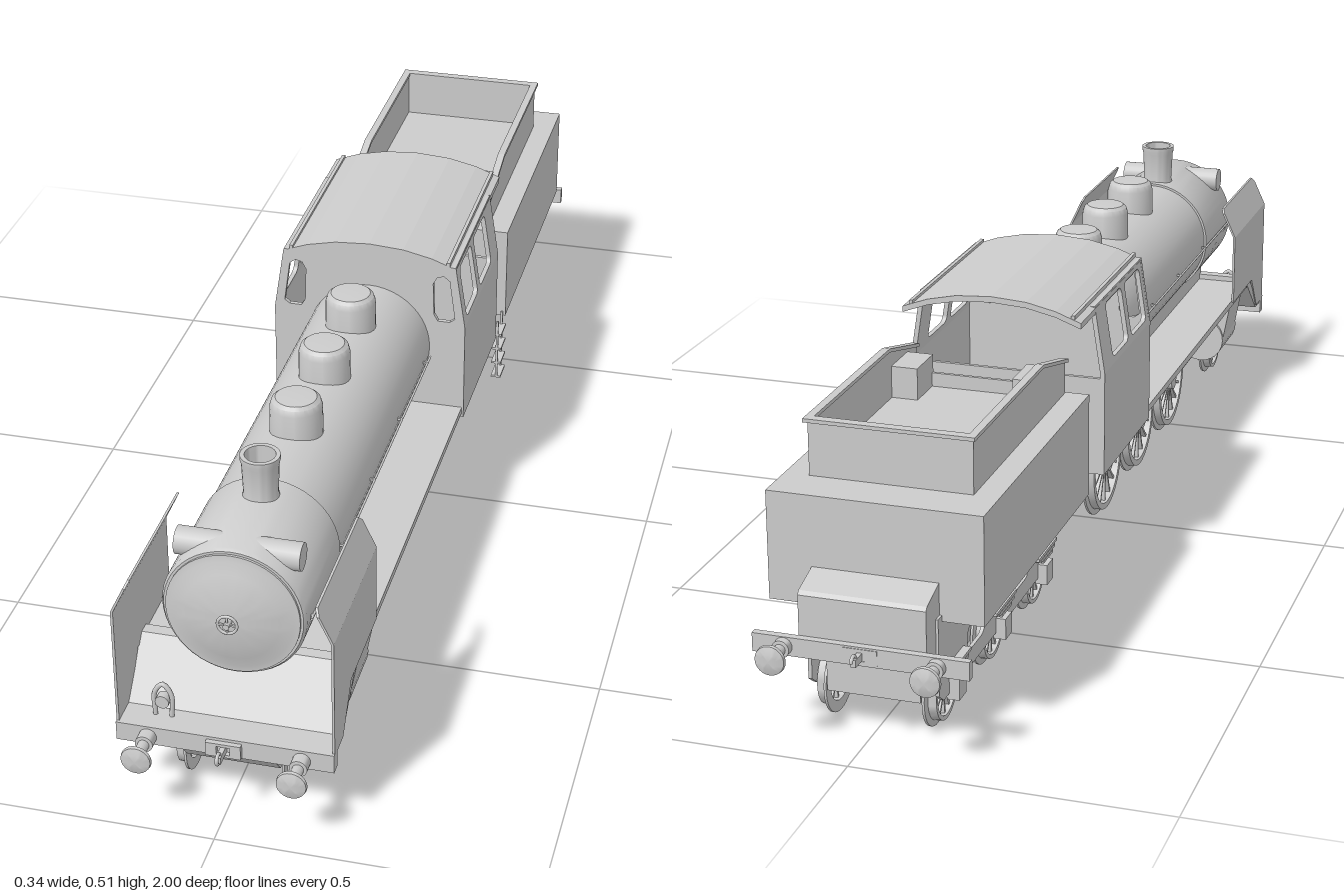
import * as THREE from 'three';
import { mergeGeometries, toCreasedNormals } from 'three/addons/utils/BufferGeometryUtils.js';

const mat = new THREE.MeshStandardMaterial({ color: 0xcccccc, side: THREE.DoubleSide });
const V = (x, y) => new THREE.Vector2(x, y);
const V3 = (x, y, z) => new THREE.Vector3(x, y, z);
const SIDES = [1, -1];

export function createModel() {
  const root = new THREE.Group();
  const add = (name, geo, x = 0, y = 0, z = 0, parent = root) => {
    const m = new THREE.Mesh(geo, mat);
    m.name = name;
    m.position.set(x, y, z);
    parent.add(m);
    return m;
  };
  // box given by its limits on each axis
  const box = (name, x0, x1, y0, y1, z0, z1) =>
    add(name, new THREE.BoxGeometry(x1 - x0, y1 - y0, z1 - z0), (x0 + x1) / 2, (y0 + y1) / 2, (z0 + z1) / 2);
  // turned part, profile as [radius, height]
  const lathe = (pts, seg = 32) =>
    toCreasedNormals(new THREE.LatheGeometry(pts.map(p => V(...p)), seg), 0.6);
  const shape = pts => new THREE.Shape(pts.map(p => V(...p)));
  const extrude = (s, depth) => new THREE.ExtrudeGeometry(s, { depth, bevelEnabled: false, curveSegments: 8 });
  // outline in (z, y), spanning x0..x1
  const sidePlate = (s, x0, x1) => extrude(s, x1 - x0).rotateY(-Math.PI / 2).translate(x1, 0, 0);
  const tube = (name, pts, r, seg = 12) =>
    add(name, new THREE.TubeGeometry(new THREE.CatmullRomCurve3(pts.map(p => V3(...p))), seg, r, 8));
  // rounded rectangular opening
  const slot = (x0, x1, y0, y1, r) => {
    const p = new THREE.Path();
    p.absarc(x1 - r, y1 - r, r, 0, Math.PI / 2);
    p.absarc(x0 + r, y1 - r, r, Math.PI / 2, Math.PI);
    p.absarc(x0 + r, y0 + r, r, Math.PI, Math.PI * 1.5);
    p.absarc(x1 - r, y0 + r, r, Math.PI * 1.5, Math.PI * 2);
    p.closePath();
    return p;
  };
  // lean a plate inward above a given height
  const lean = (geo, y0, slope) => {
    const p = geo.attributes.position;
    for (let i = 0; i < p.count; i++)
      p.setX(i, p.getX(i) - Math.sign(p.getX(i)) * Math.max(0, p.getY(i) - y0) * slope);
    geo.computeVertexNormals();
    return geo;
  };

  // spoked wheels, axis along x
  const wheelGeo = (R, spokes) => {
    const rim = R - (R > 0.08 ? 0.022 : 0.018);
    const parts = [
      lathe([[rim, 0], [R, 0], [R, 0.004], [R - 0.01, 0.006], [R - 0.011, 0.019], [rim, 0.019], [rim, 0]], 40),
      lathe([[0, 0], [R * 0.18, 0], [R * 0.18, 0.024], [0, 0.024]], 16)];
    for (let i = 0; i < spokes; i++)
      parts.push(new THREE.BoxGeometry(rim - R * 0.1, 0.009, 0.0045).translate((rim + R * 0.1) / 2 + 0.001, 0.01, 0)
        .rotateY(i / spokes * Math.PI * 2).toNonIndexed());
    return mergeGeometries(parts).rotateZ(-Math.PI / 2);
  };
  const driver = wheelGeo(0.1, 16), small = wheelGeo(0.06, 12);
  const axle = (name, geo, R, z) => {
    for (const s of SIDES) add(name, geo, s * 0.076, R, z).rotation.y = s > 0 ? 0 : Math.PI;
    add('axle', new THREE.CylinderGeometry(0.01, 0.01, 0.16, 12).rotateZ(Math.PI / 2), 0, R, z);
  };
  for (const z of [0.48, 0.257, 0.035]) axle('drivingWheel', driver, 0.1, z);
  axle('leadingWheel', small, 0.06, 0.83);
  for (const z of [-0.393, -0.61, -0.83]) axle('tenderWheel', small, 0.06, z);

  // engine frame and running boards
  add('engineFrame', sidePlate(shape([[0.93, 0.11], [0.89, 0.063], [-0.25, 0.063], [-0.25, 0.205],
    [0.81, 0.205], [0.88, 0.135], [0.93, 0.135]]), -0.074, 0.074));
  box('runningBoard', -0.167, 0.167, 0.198, 0.21, 0.03, 0.8);
  add('frontApron', sidePlate(shape([[0.79, 0.22], [0.81, 0.22], [0.885, 0.14], [0.93, 0.14], [0.93, 0.13],
    [0.88, 0.13], [0.79, 0.21]]), -0.168, 0.168));
  box('frontBeam', -0.17, 0.17, 0.108, 0.14, 0.915, 0.935);
  box('boilerSaddle', -0.07, 0.07, 0.2, 0.26, 0.05, 0.8);

  // boiler, smokebox door and handrails
  const by = 0.325;
  add('boiler', lathe([[0, 0.03], [0.108, 0.03], [0.108, 0.67], [0.112, 0.67], [0.112, 0.862], [0.108, 0.868],
    [0.1, 0.868]], 48).rotateX(Math.PI / 2), 0, by);
  add('smokeboxDoor', lathe([[0.104, 0.862], [0.104, 0.872], [0.094, 0.873], [0.075, 0.88], [0.05, 0.886],
    [0.025, 0.89], [0, 0.891]], 48).rotateX(Math.PI / 2), 0, by);
  add('doorWheel', new THREE.TorusGeometry(0.015, 0.0025, 8, 24), 0, by, 0.9);
  for (const a of [0, Math.PI / 2])
    add('doorWheelSpoke', new THREE.BoxGeometry(0.03, 0.003, 0.003), 0, by, 0.9).rotation.z = a;
  add('doorSpindle', new THREE.CylinderGeometry(0.005, 0.005, 0.022, 12).rotateX(Math.PI / 2), 0, by, 0.896);
  for (const s of SIDES) {
    tube('handrail', [[s * 0.115, 0.32, 0.06], [s * 0.115, 0.32, 0.85]], 0.002, 1);
    for (let i = 0; i < 5; i++) box('railPost', s * 0.111 - 0.005, s * 0.111 + 0.005, 0.318, 0.322, 0.08 + i * 0.19, 0.084 + i * 0.19);
  }
  add('preheater', new THREE.CylinderGeometry(0.022, 0.022, 0.194, 24).rotateZ(Math.PI / 2), 0, 0.412, 0.825);
  add('chimney', lathe([[0.031, 0.42], [0.027, 0.44], [0.029, 0.49], [0.031, 0.498], [0.031, 0.505], [0.024, 0.505],
    [0.022, 0.435], [0, 0.435]]), 0, 0, 0.71);
  for (const z of [0.508, 0.335, 0.163])
    add('dome', lathe([[0.043, 0.405], [0.042, 0.472], [0.039, 0.482], [0.033, 0.487], [0, 0.489]]), 0, 0, z);

  for (const s of SIDES) {
    const span = (a, b) => s > 0 ? [a, b] : [-b, -a];
    // smoke deflector with its top leaning inward
    add('deflectorLower', sidePlate(shape([[0.93, 0.135], [0.93, 0.34], [0.672, 0.34], [0.672, 0.205], [0.83, 0.205],
      [0.88, 0.135]]), ...span(0.166, 0.17)));
    add('deflectorUpper', lean(sidePlate(shape([[0.93, 0.34], [0.93, 0.385], [0.92, 0.395], [0.68, 0.395],
      [0.672, 0.387], [0.672, 0.34]]), ...span(0.166, 0.17)), 0.34, 0.47));

    // steam cylinder with sloping casing
    add('steamCylinder', new THREE.CylinderGeometry(0.045, 0.045, 0.112, 24).rotateX(Math.PI / 2), s * 0.108, 0.128, 0.712);
    add('cylinderCasing', extrude(shape([[s * 0.07, 0.2], [s * 0.165, 0.2], [s * 0.152, 0.13], [s * 0.125, 0.09],
      [s * 0.07, 0.09]]), 0.1).translate(0, 0, 0.662));

    // cab side: plain below, leaning with windows above
    add('cabSideLower', sidePlate(shape([[0.035, 0.19], [0.035, 0.37], [-0.25, 0.37], [-0.25, 0.19]]), ...span(0.162, 0.17)));
    const upper = shape([[0.035, 0.37], [0.035, 0.485], [-0.25, 0.485], [-0.25, 0.37]]);
    upper.holes.push(slot(-0.08, 0.012, 0.38, 0.474, 0.012), slot(-0.195, -0.1, 0.38, 0.474, 0.012));
    add('cabSideUpper', lean(sidePlate(upper, ...span(0.162, 0.17)), 0.37, 0.155));
    box('roofStrip', s * 0.139 - 0.003, s * 0.139 + 0.003, 0.485, 0.493, -0.33, 0.035);

    // buffers on both ends
    for (const [e, y] of [[1, 0.122], [-1, 0.15]]) {
      const b = add('buffer', lathe([[0.014, 0.93], [0.014, 0.955], [0.009, 0.956], [0.009, 0.985], [0.024, 0.99],
        [0.023, 0.995], [0.012, 0.999], [0, 1]], 24).rotateX(Math.PI / 2), s * 0.12, y);
      if (e < 0) b.rotation.y = Math.PI;
    }

    // tender frame plates with openings, axle boxes and springs
    const plate = shape([[-0.345, 0.2], [-0.345, 0.075], [-0.365, 0.06], [-0.87, 0.06], [-0.89, 0.075], [-0.89, 0.2]]);
    for (const z of [-0.5, -0.72]) plate.holes.push(slot(z - 0.042, z + 0.042, 0.088, 0.13, 0.02));
    add('tenderFramePlate', sidePlate(plate, ...span(0.098, 0.104)));
    for (const z of [-0.393, -0.61, -0.83]) {
      box('axleBox', ...span(0.1, 0.12), 0.05, 0.085, z - 0.016, z + 0.016);
      for (let i = 0; i < 3; i++)
        box('leafSpring', ...span(0.104, 0.117), 0.092 + i * 0.006, 0.097 + i * 0.006, z - 0.025 - i * 0.012, z + 0.025 + i * 0.012);
    }
    // coal bunker side and front locker
    add('bunkerSide', sidePlate(shape([[-0.345, 0.36], [-0.345, 0.42], [-0.475, 0.455], [-0.8, 0.455], [-0.8, 0.36]]), ...span(0.124, 0.13)));
    add('bunkerRim', sidePlate(shape([[-0.34, 0.417], [-0.475, 0.452], [-0.805, 0.452], [-0.805, 0.458],
      [-0.475, 0.458], [-0.34, 0.423]]), ...span(0.122, 0.135)));
    box('coalLocker', ...span(0.08, 0.125), 0.36, 0.425, -0.465, -0.39);
  }

  // cab front, floor, rear wall and curved roof
  const roofTop = [[0.153, 0.482], [0.11, 0.498], [0.06, 0.509], [0, 0.513], [-0.06, 0.509], [-0.11, 0.498], [-0.153, 0.482]];
  const front = shape([[-0.17, 0.19], [0.17, 0.19], [0.17, 0.37], [0.153, 0.48], ...roofTop, [-0.17, 0.37]]);
  for (const s of SIDES) {
    const p = new THREE.Path([[0.152, 0.385], [0.143, 0.378], [0.122, 0.378], [0.115, 0.39], [0.113, 0.45], [0.12, 0.463],
      [0.132, 0.466], [0.142, 0.458]].map(q => V(s * q[0], q[1])));
    p.closePath();
    front.holes.push(p);
  }
  add('cabFront', extrude(front, 0.008).translate(0, 0, 0.027));
  const under = roofTop.map(([x, y]) => [x, y - 0.01]).reverse();
  add('cabRoof', extrude(shape([...roofTop, ...under]), 0.367).translate(0, 0, -0.332));
  box('cabFloor', -0.165, 0.165, 0.19, 0.2, -0.25, 0.03);
  box('cabRearWall', -0.163, 0.163, 0.19, 0.36, -0.25, -0.243);

  // air tank and boarding ladder on the left side
  add('airTank', new THREE.CylinderGeometry(0.018, 0.018, 0.28, 20).rotateX(Math.PI / 2), 0.135, 0.183, 0.115);
  for (const z of [-0.297, -0.336]) box('ladderRail', 0.162, 0.166, 0.08, 0.2, z - 0.002, z + 0.002);
  for (let i = 0; i < 4; i++) box('ladderStep', 0.154, 0.172, 0.08 + i * 0.03, 0.084 + i * 0.03, -0.338, -0.295);

  // tender body
  box('tenderFrame', -0.074, 0.074, 0.06, 0.2, -0.89, -0.345);
  box('tenderTank', -0.17, 0.17, 0.19, 0.365, -0.873, -0.34);
  box('drawbar', -0.03, 0.03, 0.11, 0.14, -0.35, -0.24);
  box('fallPlate', -0.12, 0.12, 0.188, 0.196, -0.345, -0.24);
  box('bunkerFront', -0.125, 0.125, 0.36, 0.395, -0.396, -0.39);
  box('bunkerRear', -0.13, 0.13, 0.36, 0.455, -0.8, -0.794);
  box('bunkerRearRim', -0.135, 0.135, 0.452, 0.458, -0.808, -0.792);
  box('coalFloor', -0.125, 0.125, 0.36, 0.372, -0.795, -0.39);
  add('rearLocker', sidePlate(shape([[-0.87, 0.16], [-0.87, 0.252], [-0.925, 0.236], [-0.93, 0.23], [-0.93, 0.16]]), -0.1, 0.1));
  box('rearPlatform', -0.1, 0.1, 0.14, 0.165, -0.935, -0.86);
  box('rearBeam', -0.17, 0.17, 0.135, 0.165, -0.942, -0.93);

  // couplings and brake hose
  for (const [e, y] of [[1, 0.123], [-1, 0.15]]) {
    const z = e * 0.938;
    for (const k of SIDES) {
      add('couplingPlate', new THREE.BoxGeometry(0.054, 0.005, 0.01), 0, y + k * 0.0095, z);
      add('couplingPlate', new THREE.BoxGeometry(0.017, 0.024, 0.01), k * 0.019, y, z);
    }
    add('couplingHook', new THREE.BoxGeometry(0.008, 0.012, 0.035), 0, y, e * 0.95);
    add('couplingTip', new THREE.TorusGeometry(0.008, 0.003, 8, 12, Math.PI * 1.4).rotateY(Math.PI / 2), 0, y + 0.004, e * 0.967);
  }
  tube('brakeHose', [[-0.118, 0.14, 0.9], [-0.118, 0.18, 0.9], [-0.105, 0.197, 0.9], [-0.092, 0.18, 0.9], [-0.092, 0.14, 0.9]], 0.004, 24);
  add('hoseValve', new THREE.CylinderGeometry(0.011, 0.011, 0.015, 16).rotateX(Math.PI / 2), -0.105, 0.168, 0.9);
  return root;
}
